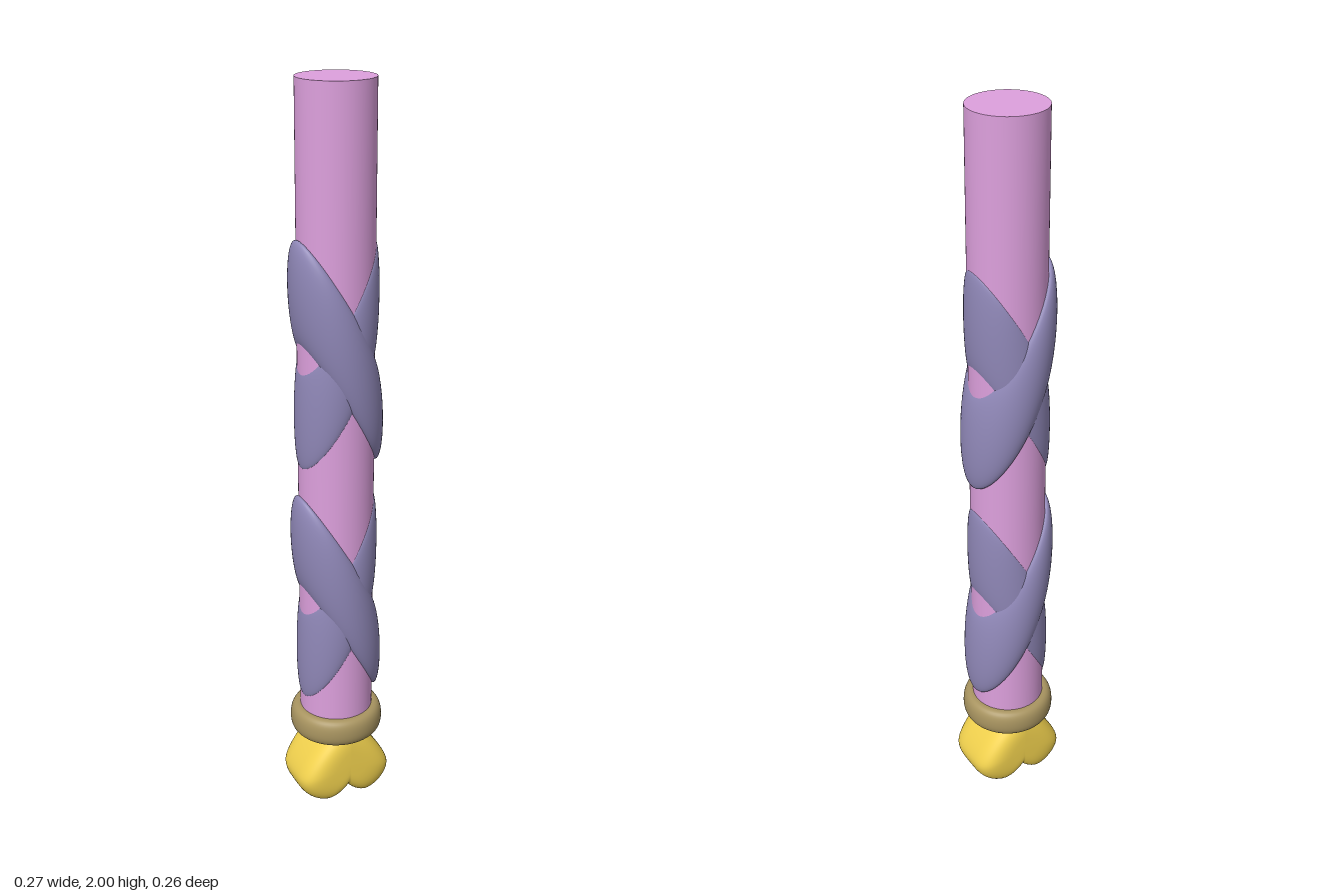
import * as THREE from 'three';
import { mergeVertices } from 'three/addons/utils/BufferGeometryUtils.js';
import { ParametricGeometry } from 'three/addons/geometries/ParametricGeometry.js';

const material = (color) => new THREE.MeshStandardMaterial({ color, side: THREE.DoubleSide });
const plum = material(0xdda0dd);
const violet = material(0x9088b8);
const gold = material(0xf2d24e);
const bronze = material(0xa89460);

// Closed heart outline, point up
function heartOutline() {
  const s = new THREE.Shape();
  s.moveTo(0, 0.25);
  s.bezierCurveTo(-0.06, 0.21, -0.137, 0.11, -0.137, 0.075);
  s.bezierCurveTo(-0.137, 0.04, -0.1, 0.004, -0.065, 0);
  s.bezierCurveTo(-0.04, 0, -0.015, 0.02, 0, 0.04);
  s.bezierCurveTo(0.015, 0.02, 0.04, 0, 0.065, 0);
  s.bezierCurveTo(0.1, 0.004, 0.137, 0.04, 0.137, 0.075);
  s.bezierCurveTo(0.137, 0.11, 0.06, 0.21, 0, 0.25);
  return s.getSpacedPoints(96);
}

// Pillowed heart: the outline shrinks towards flat front and back faces
function heartGeometry() {
  const outline = heartOutline();
  const cy = 0.12;
  const raw = new ParametricGeometry((u, v, target) => {
    const p = outline[Math.round(u * 96) % 96];
    const a = (v - 0.5) * Math.PI;
    const s = Math.sqrt(Math.max(0, Math.cos(a)));
    const z = 0.1 * Math.sign(a) * Math.sqrt(Math.abs(Math.sin(a)));
    target.set(p.x * s, cy + (p.y - cy) * s, z);
  }, 96, 28);
  raw.deleteAttribute('normal');
  raw.deleteAttribute('uv');
  const geometry = mergeVertices(raw, 1e-5);
  geometry.computeVertexNormals();
  return geometry;
}

// Wrap band: a bulging ring sheared along the shaft
function wrapGeometry(bulge, slope) {
  const profile = [];
  for (let i = 0; i <= 20; i++) {
    const a = (i / 20 - 0.5) * Math.PI;
    profile.push(new THREE.Vector2(0.097 + (bulge - 0.097) * Math.cos(a), 0.133 * Math.sin(a)));
  }
  const shear = new THREE.Matrix4().set(1, 0, 0, 0, slope, 1, 0, 0, 0, 0, 1, 0, 0, 0, 0, 1);
  return new THREE.LatheGeometry(profile, 72).applyMatrix4(shear);
}

// Collar: ring with rounded rims
function collarGeometry() {
  const s = new THREE.Path();
  s.moveTo(0.06, 0.2);
  s.lineTo(0.098, 0.2);
  s.bezierCurveTo(0.118, 0.2, 0.128, 0.212, 0.128, 0.238);
  s.bezierCurveTo(0.128, 0.265, 0.12, 0.28, 0.104, 0.28);
  s.lineTo(0.06, 0.28);
  return new THREE.LatheGeometry(s.getPoints(10), 64);
}

export function createModel() {
  const group = new THREE.Group();
  const add = (name, geometry, mat, y = 0) => {
    const mesh = new THREE.Mesh(geometry, mat);
    mesh.name = name;
    mesh.position.y = y;
    group.add(mesh);
  };

  // Shaft
  add('shaft', new THREE.CylinderGeometry(0.1, 0.1, 1.79, 64), plum, 1.105);

  // Two pairs of crossing wraps
  for (const [label, y] of [['lower', 0.625], ['upper', 1.31]]) {
    add(label + 'OuterWrap', wrapGeometry(0.122, -1.7), violet, y);
    add(label + 'InnerWrap', wrapGeometry(0.109, 1.7), violet, y);
  }

  // Collar and heart pommel
  add('collar', collarGeometry(), bronze);
  add('heartPommel', heartGeometry(), gold);
  return group;
}
